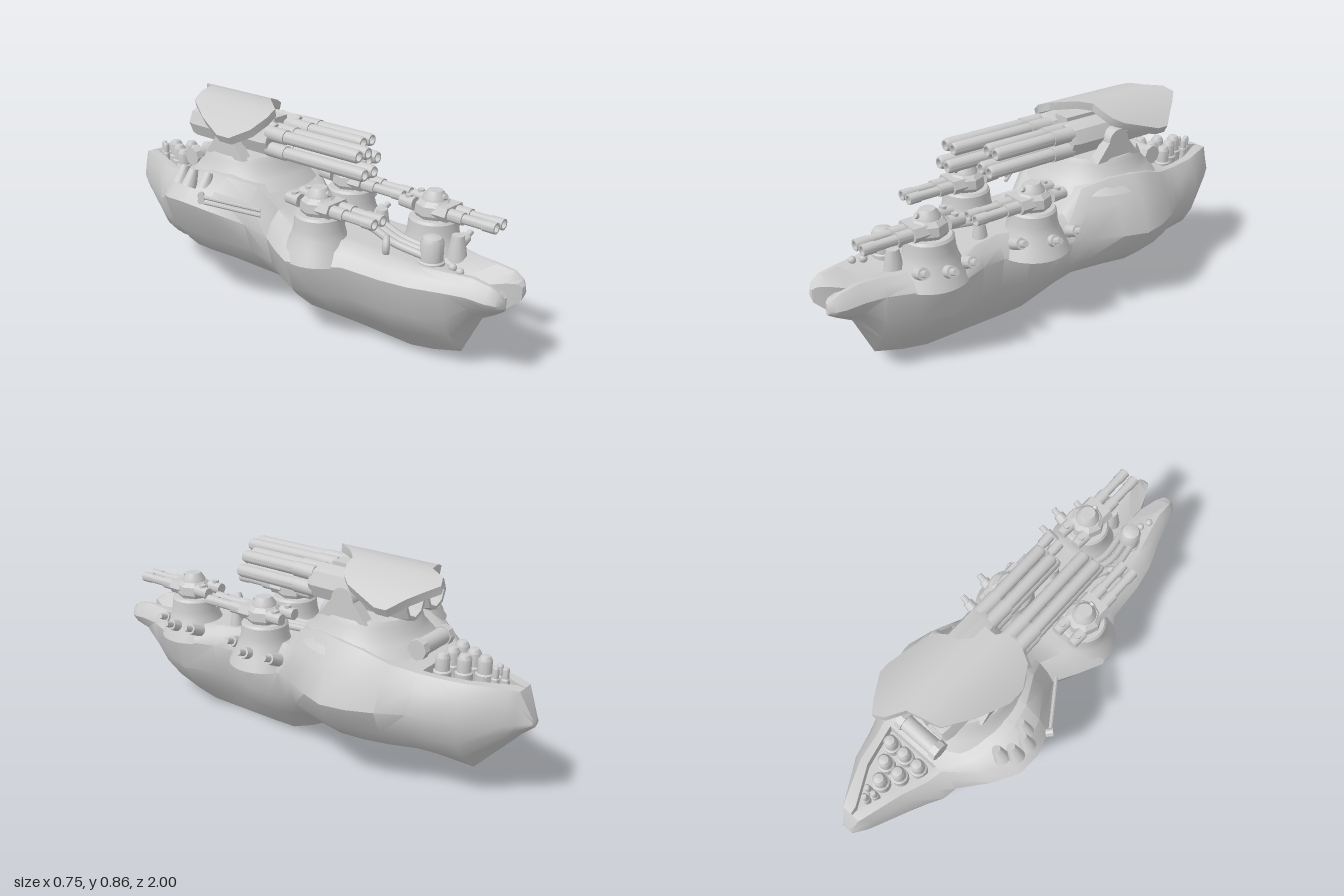
import * as THREE from 'three';
import { toCreasedNormals } from 'three/addons/utils/BufferGeometryUtils.js';

const grey = new THREE.MeshStandardMaterial({ color: 0xcccccc });
const twoSided = new THREE.MeshStandardMaterial({ color: 0xcccccc, side: THREE.DoubleSide });
const V = (x, y, z) => new THREE.Vector3(x, y, z);

function add(parent, name, geo, x = 0, y = 0, z = 0, mat = grey) {
  const m = new THREE.Mesh(geo, mat);
  m.name = name;
  m.position.set(x, y, z);
  parent.add(m);
  return m;
}

// cylinder or cone from a to b
function rod(parent, name, a, b, ra, rb = ra, seg = 16) {
  const d = b.clone().sub(a);
  const m = add(parent, name, toCreasedNormals(new THREE.CylinderGeometry(rb, ra, d.length(), seg), 0.6));
  m.position.copy(a).addScaledVector(d, 0.5);
  m.quaternion.setFromUnitVectors(V(0, 1, 0), d.normalize());
}

function lathe(parent, name, pts, x, y, z, seg = 32) {
  const geo = new THREE.LatheGeometry(pts.map(p => new THREE.Vector2(...p)), seg);
  return add(parent, name, toCreasedNormals(geo, 0.5), x, y, z, twoSided);
}

// closed rings of points joined into a skin with capped ends
function loft(rings, flip) {
  const pos = [], n = rings[0].length;
  const tri = (a, b, c) => (flip ? [a, c, b] : [a, b, c]).forEach(p => pos.push(...p));
  for (let i = 0; i < rings.length - 1; i++)
    for (let j = 0; j < n; j++) {
      const k = (j + 1) % n, A = rings[i], B = rings[i + 1];
      tri(A[j], A[k], B[j]);
      tri(A[k], B[k], B[j]);
    }
  const first = rings[0], last = rings[rings.length - 1];
  for (let j = 1; j < n - 1; j++) {
    tri(first[0], first[j + 1], first[j]);
    tri(last[0], last[j], last[j + 1]);
  }
  const geo = new THREE.BufferGeometry();
  geo.setAttribute('position', new THREE.Float32BufferAttribute(pos, 3));
  return toCreasedNormals(geo, 0.65);
}

// hull stations: z, outer x on each side, keel y, deck y
const stations = [
  [-1, -0.005, 0.045, 0.35, 0.38],
  [-0.95, -0.04, 0.082, 0.305, 0.49],
  [-0.92, -0.055, 0.105, 0.27, 0.495],
  [-0.77, -0.12, 0.2, 0.105, 0.5],
  [-0.66, -0.185, 0.23, 0.105, 0.5],
  [-0.605, -0.2, 0.25, 0.105, 0.505],
  [-0.6, -0.202, 0.252, 0.105, 0.505],
  [-0.5, -0.3, 0.31, 0.105, 0.53],
  [-0.4, -0.365, 0.355, 0.105, 0.57],
  [-0.3, -0.37, 0.375, 0.105, 0.59],
  [-0.2, -0.335, 0.34, 0.105, 0.59],
  [-0.08, -0.24, 0.285, 0.08, 0.56],
  [0, -0.195, 0.255, 0.042, 0.47],
  [0.1, -0.25, 0.24, 0.003, 0.45],
  [0.2, -0.3, 0.24, 0, 0.45],
  [0.3, -0.265, 0.2, 0, 0.45],
  [0.4, -0.2, 0.21, 0, 0.44],
  [0.57, -0.19, 0.265, 0, 0.43],
  [0.68, -0.17, 0.225, 0.022, 0.425],
  [0.8, -0.125, 0.178, 0.06, 0.425],
  [0.88, -0.1, 0.168, 0.23, 0.425],
  [0.95, -0.085, 0.16, 0.28, 0.415],
  [0.985, -0.065, 0.143, 0.31, 0.395],
  [1, -0.04, 0.122, 0.325, 0.375],
];

function hullHalf(side) {
  return loft(stations.map(([z, xl, xr, keel, deck]) => {
    // the sponson lifts the beam line on one side only
    const reach = Math.min(1, Math.abs(z + 0.33) / 0.34);
    const beam = 0.365 + (side < 0 ? 0.135 * Math.cos(reach * Math.PI / 2) : 0) - 0.015 * Math.max(0, z - 0.9) / 0.1;
    const mid = z < -0.55 ? 0.018 : z < 0 ? 0.03 : 0.038;
    // the bow splits into two lobes
    const gap = z > 0.87 ? 0.055 * Math.pow((z - 0.87) / 0.13, 1.5) : 0;
    const dip = z > 0.6 && z < 0.99 ? 0.06 * Math.min(1, (z - 0.6) / 0.25) * Math.min(1, (1 - z) / 0.1) : 0;
    // sunken triangular well in the stern
    const well = 0.54 * Math.min(1, Math.max(0.1, (z + 0.95) / 0.2));
    const floor = z > -0.93 && z < -0.602 ? 0.45 : deck;
    const inner = mid + side * gap, w = (side < 0 ? xl : xr) - inner;
    const p = (f, y) => [inner + f * w, y, z];
    const up = f => keel + (beam - keel) * f;
    const belly = z < -0.1 ? 0.6 : 0.53;
    return [
      p(0, keel), p(belly, up(0.32)), p(0.86, up(0.62)), p(1, beam),
      p(0.87, beam + (deck - beam) * 0.6), p(0.68, deck), p(well, deck), p(well, floor), p(0, floor - dip),
    ];
  }), side < 0);
}

// twin-barrel deck turret on a flared barbette
function deckTurret(parent, name, x, z) {
  const g = new THREE.Group();
  g.name = name;
  g.position.set(x, 0, z);
  parent.add(g);
  lathe(g, 'barbette', [[0.15, 0.36], [0.128, 0.41], [0.108, 0.45], [0.1, 0.48], [0.096, 0.525], [0.088, 0.535], [0, 0.535]], 0, 0, 0);
  lathe(g, 'turretBody', [[0.066, 0.53], [0.077, 0.55], [0.073, 0.585], [0.055, 0.602], [0, 0.602]], 0, 0, 0, 8);
  lathe(g, 'cupola', [[0.05, 0.6], [0.047, 0.612], [0.03, 0.637], [0, 0.637]], 0, 0, 0, 16);
  rod(g, 'periscope', V(0, 0.61, 0.03), V(0, 0.622, 0.052), 0.011);
  // hexagonal gun face
  const face = new THREE.Shape([[-0.066, 0.565], [-0.05, 0.54], [0.05, 0.54], [0.066, 0.565], [0.05, 0.595], [-0.05, 0.595]]
    .map(p => new THREE.Vector2(...p)));
  add(g, 'gunFace', new THREE.ExtrudeGeometry(face, { depth: 0.06, bevelEnabled: false }), 0, 0, 0.03);
  for (const s of [-1, 1]) {
    const bx = s * 0.026;
    rod(g, 'barrelSleeve', V(bx, 0.565, 0.05), V(bx, 0.565, 0.15), 0.025);
    rod(g, 'barrel', V(bx, 0.565, 0.1), V(bx, 0.565, 0.25), 0.019);
    const tip = lathe(g, 'muzzle', [[0.022, 0.235], [0.022, 0.287], [0.015, 0.287], [0.015, 0.26], [0, 0.26]], bx, 0.565, 0, 14);
    tip.rotation.x = Math.PI / 2;
    rod(g, 'breech', V(s * 0.04, 0.575, -0.06), V(s * 0.04, 0.575, -0.125), 0.027, 0.023);
    rod(g, 'breechCap', V(s * 0.04, 0.575, -0.09), V(s * 0.04, 0.607, -0.09), 0.014);
  }
}

// heavy gun: eight-sided drum with four long barrels
function heavyGun(parent, name, x, tip) {
  const g = new THREE.Group();
  g.name = name;
  g.position.set(x, 0.735, 0);
  parent.add(g);
  const drum = lathe(g, 'drum', [[0, -0.47], [0.045, -0.47], [0.052, -0.53], [0.066, -0.53], [0.074, -0.5],
    [0.074, -0.1], [0.066, -0.075], [0, -0.075]], 0, 0, 0, 8);
  drum.rotation.x = Math.PI / 2;
  for (const sx of [-1, 1]) for (const sy of [-1, 1]) {
    const bx = sx * 0.028, by = sy * 0.033, end = tip - (sy > 0 ? 0.03 : 0);
    rod(g, 'sleeve', V(bx, by, -0.09), V(bx, by, 0.01), 0.03);
    const b = lathe(g, 'barrel', [[0.026, -0.02], [0.026, end - 0.01], [0.022, end], [0.016, end], [0.016, end - 0.04], [0, end - 0.04]],
      bx, by, 0, 14);
    b.rotation.x = Math.PI / 2;
  }
}

export function createModel() {
  const root = new THREE.Group();
  root.name = 'gunboat';
  add(root, 'leftHull', hullHalf(1));
  add(root, 'rightHull', hullHalf(-1));

  // main tower
  lathe(root, 'towerBase', [[0.275, 0.53], [0.235, 0.575], [0.212, 0.6], [0.2, 0.635], [0.188, 0.655], [0, 0.655]], 0.025, 0, -0.285, 40);
  add(root, 'towerCore', new THREE.BoxGeometry(0.075, 0.16, 0.32), 0.023, 0.73, -0.28);
  const ear = new THREE.Shape();
  ear.moveTo(-0.11, 0.645);
  ear.lineTo(-0.05, 0.72);
  ear.absarc(0, 0.72, 0.05, Math.PI, 0, true);
  ear.lineTo(0.11, 0.645);
  for (const x of [-0.155, 0.155]) {
    const m = add(root, 'trunnion', new THREE.ExtrudeGeometry(ear, { depth: 0.05, bevelEnabled: false }), x, 0, -0.275);
    m.rotation.y = Math.PI / 2;
  }
  rod(root, 'trunnionShaft', V(-0.14, 0.72, -0.275), V(0.19, 0.72, -0.275), 0.035);
  heavyGun(root, 'rightHeavyGun', -0.05, 0.405);
  heavyGun(root, 'leftHeavyGun', 0.095, 0.31);

  // arched canopy: x, front z, back z
  const canopy = [[-0.2, -0.2, -0.27], [-0.155, -0.12, -0.4], [-0.09, -0.09, -0.52], [-0.03, -0.1, -0.54], [0.04, -0.19, -0.56],
    [0.085, -0.235, -0.63], [0.13, -0.24, -0.65], [0.175, -0.26, -0.6], [0.205, -0.3, -0.56], [0.252, -0.45, -0.5]];
  add(root, 'canopy', loft(canopy.map(([x, f, b]) => {
    const top = 0.862 - 2.2 * (x - 0.025) ** 2, low = top - 0.032, u = x + (0.025 - x) * 0.08;
    return [[u, low, f], [u, low, b], [x, top, b], [x, top, f]];
  }), false), 0, 0, 0, twoSided);

  // deck turrets
  deckTurret(root, 'rightMidTurret', -0.145, 0.24);
  deckTurret(root, 'leftMidTurret', 0.17, 0.14);
  deckTurret(root, 'foreTurret', 0.125, 0.585);

  // stubby side guns
  for (const [x, z] of [[0.28, 0.01], [0.295, 0.13], [0.235, 0.25], [0.245, 0.48], [0.26, 0.58], [0.21, 0.67]]) {
    const a = V(x - 0.04, 0.415, z), b = V(x + 0.045, 0.45, z + 0.005);
    rod(root, 'sideGun', a, b, 0.016, 0.013, 12);
    rod(root, 'sideGunCollar', a, a.clone().lerp(b, 0.65), 0.027, 0.023, 12);
  }

  // foredeck dome, vents and studs
  lathe(root, 'foreDome', [[0.05, 0.38], [0.05, 0.43], [0.044, 0.435], [0.044, 0.505], [0.035, 0.523], [0.02, 0.53], [0, 0.53]], -0.035, 0, 0.69);
  rod(root, 'foreVent', V(0.09, 0.4, 0.72), V(0.09, 0.5, 0.72), 0.042, 0.024);
  rod(root, 'midVent', V(0.11, 0.42, 0.35), V(0.11, 0.5, 0.35), 0.035, 0.022);
  for (const [x, z] of [[-0.03, 0.78], [-0.045, 0.82]])
    add(root, 'deckStud', new THREE.SphereGeometry(0.016, 12, 8), x, 0.428, z);

  // hoses from the dome back to the tower
  for (let i = 0; i < 3; i++) {
    const o = i * 0.032;
    const path = new THREE.CatmullRomCurve3([V(-0.06 + o, 0.45, 0.68), V(-0.075 + o, 0.47, 0.55), V(-0.035 + o, 0.48, 0.42),
      V(o, 0.48, 0.28), V(-0.01 + o, 0.48, 0.1), V(-0.01 + o, 0.49, -0.03)]);
    add(root, 'hose', new THREE.TubeGeometry(path, 32, 0.015, 8));
  }
  const elbow = add(root, 'hoseElbow', new THREE.TorusGeometry(0.03, 0.014, 8, 16), -0.085, 0.455, 0.52);
  elbow.rotation.y = 0.6;

  // smoke launchers and rails on the sponson
  for (const [x, z] of [[-0.26, -0.41], [-0.3, -0.37], [-0.305, -0.31], [-0.26, -0.27]])
    rod(root, 'smokeLauncher', V(x - 0.02, x < -0.28 ? 0.55 : 0.54, z), V(x + 0.012, x < -0.28 ? 0.618 : 0.6, z), 0.033, 0.018);
  for (const y of [0.5, 0.522]) {
    rod(root, 'sponsonRail', V(-0.345, y + 0.015, -0.2), V(-0.215, y - 0.03, -0.01), 0.008, 0.008, 8);
    rod(root, 'railEnd', V(-0.34, y + 0.02, -0.22), V(-0.36, y + 0.025, -0.2), 0.014, 0.014, 8);
  }

  // cross tank behind the tower
  rod(root, 'tank', V(-0.085, 0.565, -0.555), V(0.115, 0.565, -0.555), 0.034, 0.034, 12);
  for (const x of [-0.09, 0.09])
    rod(root, 'tankCollar', V(x, 0.565, -0.555), V(x + 0.03, 0.565, -0.555), 0.041, 0.041, 8);

  // domed missile tubes in the stern well: z, count, radius, top y
  for (const [z, count, r, top] of [[-0.65, 3, 0.034, 0.575], [-0.72, 2, 0.034, 0.575], [-0.785, 1, 0.034, 0.575],
    [-0.838, 2, 0.016, 0.55], [-0.87, 1, 0.016, 0.55]])
    for (let i = 0; i < count; i++)
      lathe(root, 'missileTube', [[r, 0.44], [r, 0.5], [r * 0.8, 0.505], [r * 0.8, top - r * 0.6], [r * 0.55, top - r * 0.15], [0, top]],
        0.018 + (i - (count - 1) / 2) * r * 2.1, 0, z, 14);
  return root;
}
